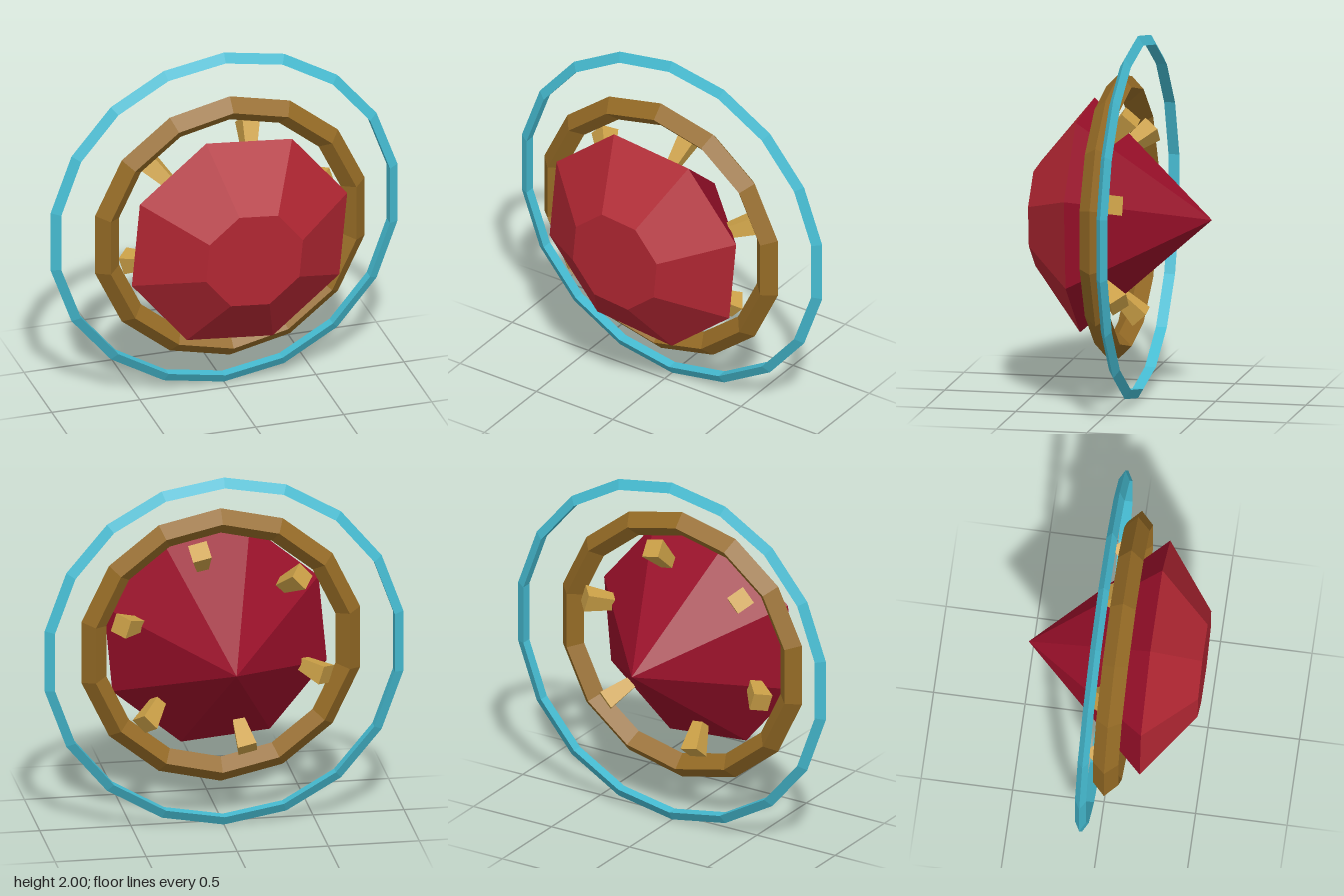
import * as THREE from 'three';

const material = (name, color) => {
  const m = new THREE.MeshStandardMaterial({ color, flatShading: true });
  m.name = name;
  return m;
};

export function createModel() {
  const model = new THREE.Group();
  model.name = 'ringedGem';
  const crownRed = material('crown red', 0xb02632);
  const pavilionRed = material('deep red', 0x980f29);
  const bronze = material('bronze', 0x946a25);
  const brass = material('brass', 0xcba047);
  const cyan = material('cyan', 0x46bcd2);

  // Everything turns around a z axis through the centre at y = 1
  const add = (name, geometry, mat, z = 0) => {
    const mesh = new THREE.Mesh(geometry, mat);
    mesh.name = name;
    mesh.position.set(0, 1, z);
    model.add(mesh);
    return mesh;
  };
  const TWIST = 0.3;

  // Gem: eight-sided crown with a flat table, and a pointed back
  const girdle = 0.64;
  const crown = new THREE.CylinderGeometry(0.288, girdle, 0.27, 8, 1, false, TWIST);
  add('gemCrown', crown.rotateX(Math.PI / 2), crownRed, 0.345);
  const pavilion = new THREE.CylinderGeometry(girdle, 0, 0.69, 8, 1, true, TWIST);
  add('gemPavilion', pavilion.rotateX(Math.PI / 2), pavilionRed, -0.135);

  // Setting ring with a diamond section, and thin outer ring with a triangular one
  add('settingRing', new THREE.TorusGeometry(0.715, 0.07, 4, 14).rotateZ(Math.PI / 2), bronze, 0.035);
  add('outerRing', new THREE.TorusGeometry(0.965, 0.035, 3, 18).rotateZ(Math.PI / 2), cyan, -0.07);

  // Six tapered square prongs standing out of the back of the gem
  const prong = new THREE.CylinderGeometry(0.074, 0.042, 0.2, 4)
    .rotateY(Math.PI / 4)
    .rotateZ(-Math.PI / 2)
    .rotateY(0.75)
    .translate(0.517, 0, 0.008);
  for (let i = 0; i < 6; i++) {
    add('prong', prong, brass).rotation.z = TWIST + (i * Math.PI) / 3;
  }
  return model;
}
